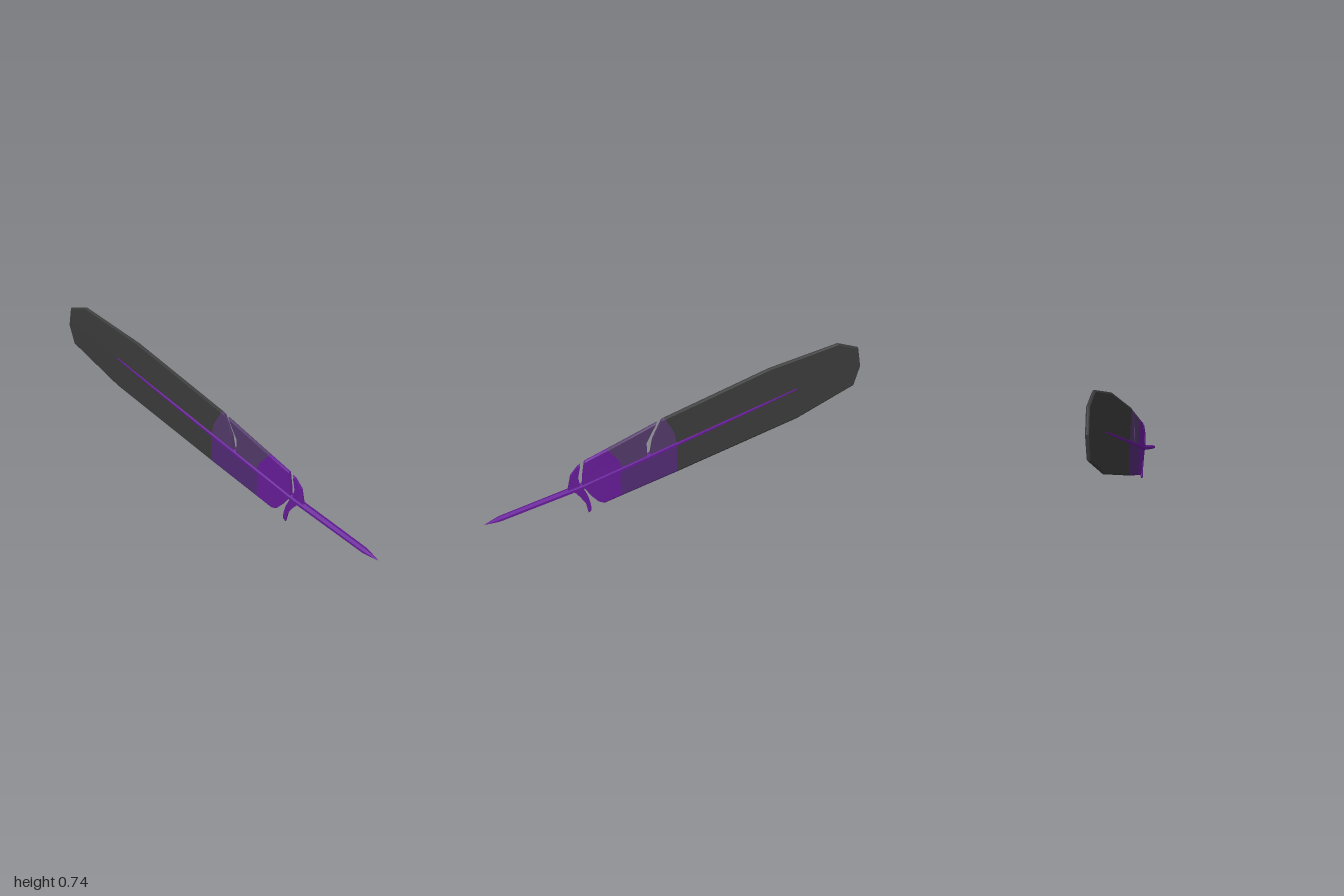
import * as THREE from 'three';

const paint = (name, color) => {
  const m = new THREE.MeshStandardMaterial({ color });
  m.name = name;
  return m;
};

// Height of the shaft's centre line, with a slight bend below the vanes
const spineY = (x) => (x < 0.5 ? 0.322 - 0.302 * x : 0.171 - 0.23 * (x - 0.5));

// A cut runs from the shaft to the rim; straight cuts need only their two ends
const cut = (x, ...pts) => {
  const start = [x, spineY(x)];
  if (pts.length === 1) pts.unshift([(x + pts[0][0]) / 2, (start[1] + pts[0][1]) / 2]);
  const path = [start, ...pts];
  const rim = path[path.length - 1], before = path[path.length - 2];
  const inner = [0, 1].map((k) => before[k] + (rim[k] - before[k]) * 0.9);
  path.splice(path.length - 1, 0, inner);
  return path;
};

// Solid blade through a row of cuts, thinning to a narrow edge at the rim
function blade(cuts, lower, thick = 0.009) {
  const pos = [];
  const quad = (a, b, c, d) => {
    const q = lower ? [a, c, b, a, d, c] : [a, b, c, a, c, d];
    q.forEach((p) => pos.push(...p));
  };
  const rings = cuts.map((path) => {
    const half = path.map((p, i) => (i === path.length - 1 ? 0.003 : thick - 0.0005 * i));
    const front = path.map((p, i) => [p[0], p[1], half[i]]);
    const back = path.map((p, i) => [p[0], p[1], -half[i]]);
    return [...front, ...back.reverse()];
  });
  const n = rings[0].length;
  for (let i = 0; i < rings.length - 1; i++) {
    const a = rings[i], b = rings[i + 1];
    for (let j = 0; j < n; j++) {
      const k = (j + 1) % n;
      quad(a[j], b[j], b[k], a[k]);
    }
  }
  // end walls
  const first = rings[0], last = rings[rings.length - 1];
  for (let j = 0; j < n / 2 - 1; j++) {
    quad(first[j], first[j + 1], first[n - 2 - j], first[n - 1 - j]);
    quad(last[j], last[n - 1 - j], last[n - 2 - j], last[j + 1]);
  }
  const g = new THREE.BufferGeometry();
  g.setAttribute('position', new THREE.Float32BufferAttribute(pos, 3));
  g.computeVertexNormals();
  return g;
}

// Six-sided tapering shaft with a flat face to the front and back, bent along the centre line
function shaftGeometry() {
  const profile = [
    [0, -0.66], [0.014, -0.64], [0.018, -0.42], [0.021, 0.15],
    [0.021, 0.5], [0.018, 0.92], [0.011, 0.955], [0, 0.999],
  ].map(([r, x]) => new THREE.Vector2(r, x));
  const g = new THREE.LatheGeometry(profile, 6, Math.PI / 6).toNonIndexed();
  const p = g.attributes.position;
  for (let i = 0; i < p.count; i++) {
    const x = p.getY(i);
    const flat = THREE.MathUtils.clamp(0.35 + (x + 0.65) * 0.3, 0.35, 0.66);
    p.setXYZ(i, x, spineY(x) - p.getX(i) * flat, p.getZ(i));
  }
  g.computeVertexNormals();
  return g;
}

export function createModel() {
  const charcoal = paint('charcoal', 0x3b3b3b);
  const dusky = paint('dusky purple', 0x523a69);
  const plum = paint('plum', 0x512b74);
  const violet = paint('violet', 0x661c97);

  const group = new THREE.Group();
  group.name = 'feather';
  const add = (name, geometry, material) => {
    const mesh = new THREE.Mesh(geometry, material);
    mesh.name = name;
    group.add(mesh);
  };

  // Cuts shared by neighbouring colour bands
  const tip = cut(-0.95, [-1, 0.585]);
  const upDark = cut(0.004, [0.018, 0.39], [0.068, 0.484]);
  const upBright = cut(0.29, [0.305, 0.285], [0.365, 0.365]);
  const lowDark = cut(0.004, [0.004, 0.24], [0.004, 0.147]);
  const lowBright = cut(0.3, [0.305, 0.15], [0.295, 0.069]);

  // Upper vane, split by a narrow notch
  add('upperVaneTip', blade([
    tip,
    cut(-0.93, [-0.975, 0.695]),
    cut(-0.85, [-0.855, 0.737]),
    cut(-0.55, [-0.48, 0.66]),
    upDark,
  ]), charcoal);
  add('upperVaneBandBeforeNotch', blade([
    upDark, cut(0.147, [0.13, 0.37], [0.08, 0.48]),
  ]), dusky);
  add('upperVaneBandAfterNotch', blade([
    cut(0.162, [0.163, 0.36], [0.107, 0.467]), upBright,
  ]), dusky);
  add('upperVaneBase', blade([
    upBright, cut(0.5, [0.495, 0.23], [0.48, 0.32]),
  ]), violet);

  // Lower vane
  add('lowerVaneTip', blade([
    tip,
    cut(-0.9, [-0.975, 0.475]),
    cut(-0.62, [-0.66, 0.335]),
    lowDark,
  ], true), charcoal);
  add('lowerVaneBand', blade([lowDark, lowBright], true), plum);
  add('lowerVaneBase', blade([
    lowBright,
    cut(0.44, [0.42, 0.11], [0.39, 0.043]),
    cut(0.495, [0.46, 0.11], [0.417, 0.056]),
  ], true), violet);

  // Loose tufts at the base of the vanes
  add('upperTuft', blade([
    cut(0.508, [0.518, 0.23], [0.502, 0.306]),
    cut(0.575, [0.554, 0.248], [0.511, 0.3]),
  ], false, 0.008), violet);
  add('lowerTuft', blade([
    cut(0.5, [0.472, 0.1], [0.462, 0.05], [0.46, 0.012]),
    cut(0.55, [0.515, 0.113], [0.486, 0.062], [0.476, 0.002]),
  ], true, 0.007), violet);

  add('shaft', shaftGeometry(), violet);
  return group;
}
